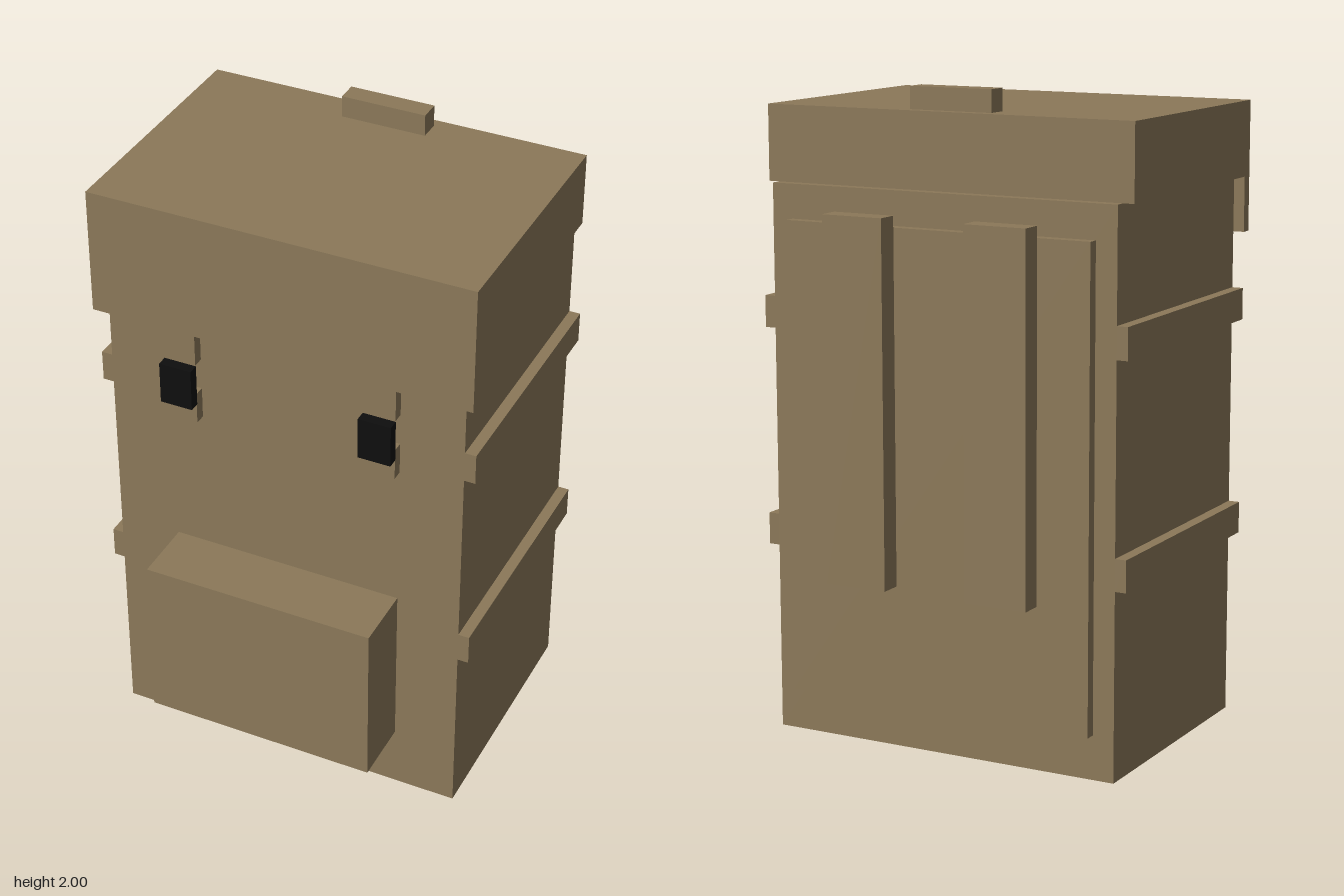
import * as THREE from 'three';

export function createModel() {
  const group = new THREE.Group();
  const canvas = new THREE.MeshStandardMaterial({ color: 0x8b7859 });
  canvas.name = 'brown canvas';
  const black = new THREE.MeshStandardMaterial({ color: 0x0e0e0e });
  black.name = 'black buckle';

  // Box given by its extents on each axis
  function box(name, [x0, x1], [y0, y1], [z0, z1], material = canvas) {
    const mesh = new THREE.Mesh(new THREE.BoxGeometry(x1 - x0, y1 - y0, z1 - z0), material);
    mesh.position.set((x0 + x1) / 2, (y0 + y1) / 2, (z0 + z1) / 2);
    mesh.name = name;
    group.add(mesh);
  }
  // The same box on the left (+x) and the right (-x)
  function pair(name, [x0, x1], y, z, material) {
    box(name + 'Left', [x0, x1], y, z, material);
    box(name + 'Right', [-x1, -x0], y, z, material);
  }

  // Main bag and front pocket
  box('body', [-0.575, 0.575], [0, 1.7], [-0.457, 0.355]);
  box('frontPocket', [-0.373, 0.373], [0.205, 0.748], [0.355, 0.56]);

  // Lid with a front flap hanging lower than its sides, and the carry handle
  box('lid', [-0.61, 0.61], [1.7, 1.932], [-0.423, 0.39]);
  box('lidFlap', [-0.61, 0.61], [1.53, 1.7], [0.355, 0.39]);
  box('carryHandle', [-0.136, 0.136], [1.932, 2], [-0.39, -0.323]);

  // Closing straps, interrupted behind the raised buckles
  pair('upperClosingStrap', [0.272, 0.373], [1.428, 1.53], [0.355, 0.39]);
  pair('lowerClosingStrap', [0.272, 0.373], [1.222, 1.325], [0.355, 0.39]);
  pair('buckle', [0.27, 0.374], [1.29, 1.426], [0.39, 0.424], black);

  // Compression bands along the sides
  for (const [y0, y1] of [[0.58, 0.678], [1.258, 1.356]]) {
    pair('sideBand', [0.575, 0.61], [y0, y1], [-0.457, 0.355]);
  }

  // Back padding and shoulder straps
  box('backPad', [-0.507, 0.507], [0.137, 1.595], [-0.491, -0.457]);
  pair('shoulderStrap', [0.136, 0.338], [0.512, 1.63], [-0.56, -0.491]);

  return group;
}
